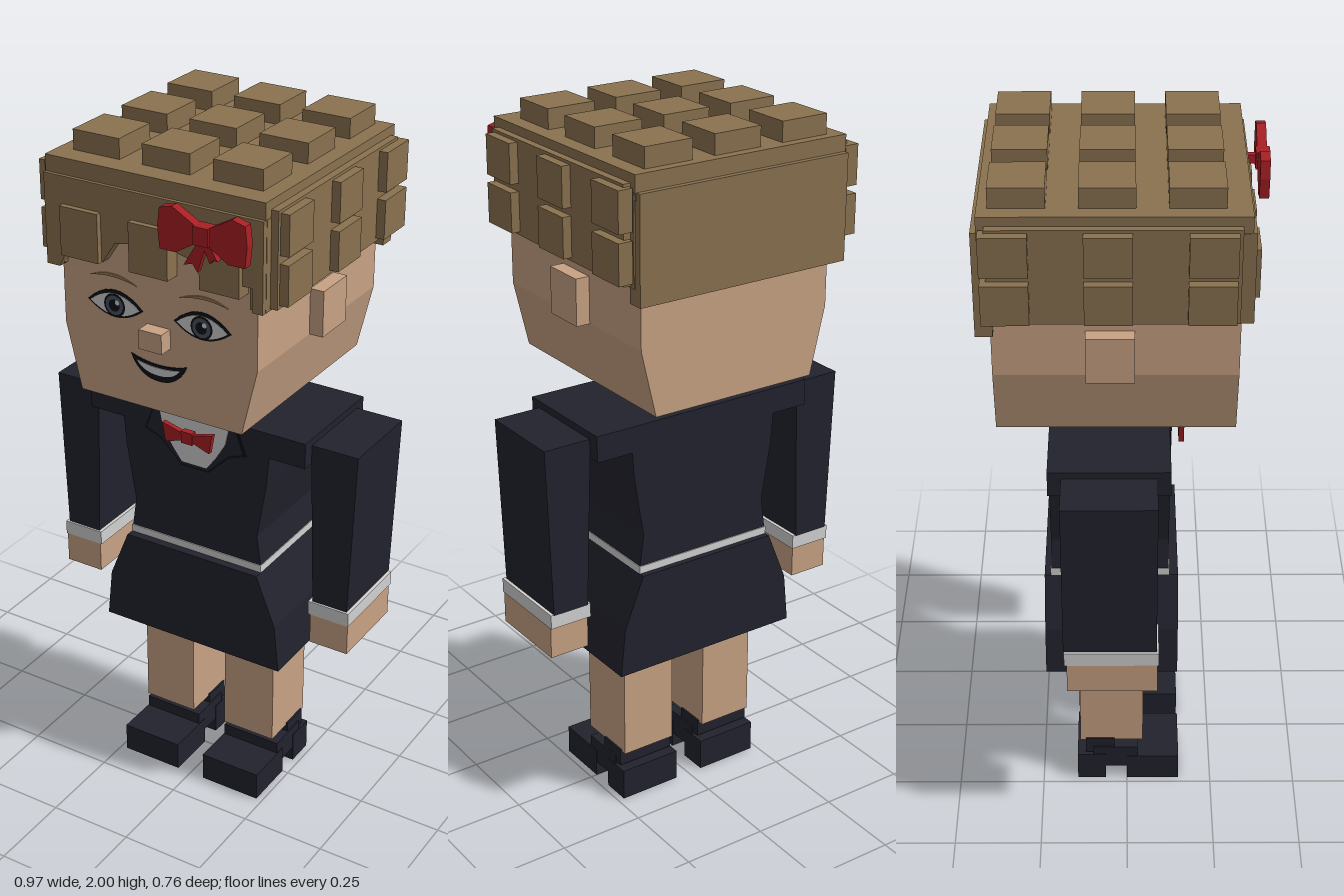
import * as THREE from 'three';

const mat = (name, color) => {
  const m = new THREE.MeshStandardMaterial({ color });
  m.name = name;
  return m;
};

export function createModel() {
  const skin = mat('skin', 0xc8a283);
  const hair = mat('hair', 0x8a7250);
  const cloth = mat('dark cloth', 0x22222e);
  const white = mat('white', 0xd2d2d2);
  const red = mat('red', 0xa81f24);
  const black = mat('black', 0x0e0f16);
  const iris = mat('iris', 0x4a5262);
  const brow = mat('brow', 0x9c7a50);

  const model = new THREE.Group();
  model.name = 'figure';
  const group = (name, parent = model) => {
    const g = new THREE.Group();
    g.name = name;
    parent.add(g);
    return g;
  };
  const add = (parent, name, geometry, material) => {
    const m = new THREE.Mesh(geometry, material);
    m.name = name;
    parent.add(m);
    return m;
  };
  // Box given by its limits on each axis
  const box = (parent, name, material, [x0, x1], [y0, y1], [z0, z1]) => {
    const m = add(parent, name, new THREE.BoxGeometry(x1 - x0, y1 - y0, z1 - z0), material);
    m.position.set((x0 + x1) / 2, (y0 + y1) / 2, (z0 + z1) / 2);
    return m;
  };
  // Front outline extruded from z0 to z1
  const slab = (parent, name, material, pts, z0, z1) => {
    const shape = Array.isArray(pts) ? new THREE.Shape(pts.map(([x, y]) => new THREE.Vector2(x, y))) : pts;
    const g = new THREE.ExtrudeGeometry(shape, { depth: z1 - z0, bevelEnabled: false, curveSegments: 10 });
    g.translate(0, 0, z0);
    return add(parent, name, g, material);
  };
  // Completes a right-hand outline (bottom to top) with its mirror image
  const mirror = (pts) => [...pts, ...pts.slice().reverse().map(([x, y]) => [-x, y])];

  // Head, neck, nose
  const head = group('head');
  slab(head, 'skull', skin, mirror([[0.25, 1.29], [0.295, 1.48], [0.295, 1.7], [0.295, 1.9]]), -0.343, 0.286);
  box(head, 'neck', skin, [-0.083, 0.083], [1.2, 1.3], [-0.13, 0.04]);
  box(head, 'nose', skin, [-0.035, 0.035], [1.48, 1.535], [0.28, 0.328]);

  // Eyes, brows and ears
  for (const s of [-1, 1]) {
    box(head, 'ear', skin, s > 0 ? [0.28, 0.335] : [-0.335, -0.28], [1.48, 1.61], [-0.105, 0.02]);
    const cx = 0.133 * s, cy = 1.565;
    const almond = (w, up, down) => {
      const sh = new THREE.Shape();
      sh.moveTo(cx - w, cy);
      sh.quadraticCurveTo(cx, cy - 2 * down, cx + w, cy);
      sh.quadraticCurveTo(cx, cy + 2 * up, cx - w, cy);
      return sh;
    };
    slab(head, 'eyeOutline', black, almond(0.086, 0.042, 0.035), 0.284, 0.288);
    slab(head, 'eyeWhite', white, almond(0.076, 0.032, 0.029), 0.285, 0.29);
    const disc = (name, m, r, dx, dy, z) =>
      add(head, name, new THREE.CircleGeometry(r, 20), m).position.set(cx + dx, cy + dy, z);
    disc('irisRim', black, 0.033, 0, 0, 0.291);
    disc('iris', iris, 0.027, 0, 0, 0.292);
    disc('pupil', black, 0.017, 0, 0, 0.293);
    disc('eyeGlint', white, 0.007, 0.01, 0.01, 0.294);
    const b = new THREE.Shape();
    b.moveTo(s * 0.065, 1.632);
    b.quadraticCurveTo(s * 0.14, 1.67, s * 0.21, 1.634);
    b.quadraticCurveTo(s * 0.14, 1.653, s * 0.065, 1.632);
    slab(head, 'brow', brow, b, 0.284, 0.289);
  }

  // Smile
  const smile = (w, top, dip, bottom) => {
    const sh = new THREE.Shape();
    sh.moveTo(-w, top);
    sh.quadraticCurveTo(-w * 0.7, bottom, 0, bottom);
    sh.quadraticCurveTo(w * 0.7, bottom, w, top);
    sh.quadraticCurveTo(0, dip, -w, top);
    return sh;
  };
  slab(head, 'lips', black, smile(0.086, 1.44, 1.41, 1.378), 0.284, 0.289);
  slab(head, 'teeth', white, smile(0.066, 1.425, 1.41, 1.396), 0.285, 0.291);

  // Hair: cap, fringe, side and back plates
  const hairGroup = group('hair');
  box(hairGroup, 'hairCap', hair, [-0.325, 0.325], [1.88, 1.945], [-0.365, 0.305]);
  box(hairGroup, 'backPlate', hair, [-0.322, 0.322], [1.61, 1.9], [-0.38, -0.335]);
  slab(hairGroup, 'fringe', hair, [
    [-0.325, 1.65], [-0.285, 1.65], [-0.265, 1.69], [-0.15, 1.69], [-0.11, 1.75], [-0.06, 1.76],
    [0.06, 1.77], [0.14, 1.75], [0.26, 1.72], [0.295, 1.72], [0.295, 1.655], [0.325, 1.655],
    [0.325, 1.9], [-0.325, 1.9],
  ], 0.28, 0.315);
  for (const s of [-1, 1]) {
    const sx = (a, b) => (s > 0 ? [a, b] : [-b, -a]);
    box(hairGroup, 'sideHair', hair, sx(0.28, 0.326), [1.655, 1.9], [-0.36, 0.3]);
    box(hairGroup, 'sidePlate', hair, sx(0.31, 0.346), [1.66, 1.92], [-0.345, 0.28]);
    for (const z of [-0.3, -0.046, 0.21])
      for (const y of [1.725, 1.857])
        box(hairGroup, 'sideStud', hair, sx(0.33, 0.371), [y - 0.055, y + 0.055], [z - 0.06, z + 0.06]);
  }
  for (const x of [-0.21, 0, 0.209]) {
    for (const z of [-0.268, -0.048, 0.172])
      box(hairGroup, 'topStud', hair, [x - 0.071, x + 0.071], [1.93, 2], [z - 0.07, z + 0.07]);
    box(hairGroup, 'fringeStud', hair, [x - 0.058, x + 0.058], [1.69, 1.825], [0.285, 0.331]);
  }

  // Hair bow
  const bow = group('hairBow');
  bow.position.set(0.185, 1.853, 0);
  for (const s of [-1, 1]) {
    const wing = [[0.01, -0.018], [0.075, -0.058], [0.122, -0.058], [0.128, 0], [0.122, 0.05], [0.085, 0.06], [0.01, 0.018]];
    slab(bow, 'bowWing', red, wing.map(([x, y]) => [x * s, y]), 0.345, 0.371);
  }
  box(bow, 'bowKnot', red, [-0.021, 0.021], [-0.024, 0.024], [0.34, 0.378]);
  box(bow, 'bowPin', red, [-0.009, 0.009], [-0.012, 0.012], [0.3, 0.345]);
  slab(bow, 'bowTail', red, [[-0.012, -0.015], [-0.056, -0.088], [-0.03, -0.08], [-0.016, -0.1], [0.012, -0.015]], 0.35, 0.366);
  slab(bow, 'bowTail', red, [[-0.008, -0.015], [0.02, -0.07], [0.03, -0.058], [0.042, -0.06], [0.014, -0.015]], 0.35, 0.366);

  // Jacket with shoulders, belt, skirt
  const body = group('body');
  slab(body, 'jacket', cloth, mirror([
    [0.213, 0.788], [0.2, 0.88], [0.228, 1.05], [0.235, 1.135], [0.345, 1.135], [0.345, 1.21],
  ]), -0.21, 0.116);
  box(body, 'belt', white, [-0.215, 0.215], [0.765, 0.79], [-0.213, 0.119]);
  slab(body, 'skirt', cloth, mirror([[0.29, 0.475], [0.275, 0.62], [0.215, 0.768]]), -0.23, 0.143);

  // Collar, shirt front and bow tie
  slab(body, 'lapels', black, mirror([[0.045, 1.035], [0.11, 1.1], [0.165, 1.12], [0.13, 1.208]]), 0.114, 0.118);
  slab(body, 'lapelFill', cloth, mirror([[0.043, 1.042], [0.108, 1.107], [0.155, 1.125], [0.125, 1.208]]), 0.115, 0.12);
  slab(body, 'shirt', white, mirror([[0.04, 1.05], [0.07, 1.09], [0.1, 1.14], [0.115, 1.209]]), 0.115, 0.122);
  slab(body, 'bowTie', red, mirror([[0.012, 1.14], [0.07, 1.12], [0.08, 1.178], [0.012, 1.16]]), 0.142, 0.157);
  box(body, 'bowTieKnot', red, [-0.018, 0.018], [1.132, 1.168], [0.141, 0.16]);

  // Arms and legs
  for (const s of [-1, 1]) {
    const side = s > 0 ? 'left' : 'right';
    const sx = (a, b) => (s > 0 ? [a, b] : [-b, -a]);
    const arm = group(side + 'Arm');
    slab(arm, 'sleeve', cloth, [[0.36, 0.7], [0.467, 0.7], [0.484, 1.19], [0.343, 1.19]].map(([x, y]) => [x * s, y]), -0.174, 0.08);
    box(arm, 'cuff', white, sx(0.35, 0.476), [0.66, 0.702], [-0.172, 0.086]);
    box(arm, 'hand', skin, sx(0.356, 0.474), [0.567, 0.662], [-0.165, 0.083]);

    const leg = group(side + 'Leg');
    box(leg, 'shin', skin, sx(0.055, 0.22), [0.145, 0.5], [-0.138, 0.047]);
    const shoe = group('shoe', leg);
    box(shoe, 'toe', cloth, sx(0.044, 0.231), [0, 0.087], [0, 0.154]);
    box(shoe, 'instep', cloth, sx(0.046, 0.229), [0.045, 0.122], [-0.1, 0.032]);
    box(shoe, 'ankle', cloth, sx(0.05, 0.225), [0.1, 0.152], [-0.122, -0.037]);
    box(shoe, 'heel', cloth, sx(0.044, 0.231), [0, 0.094], [-0.147, -0.063]);
  }
  return model;
}
